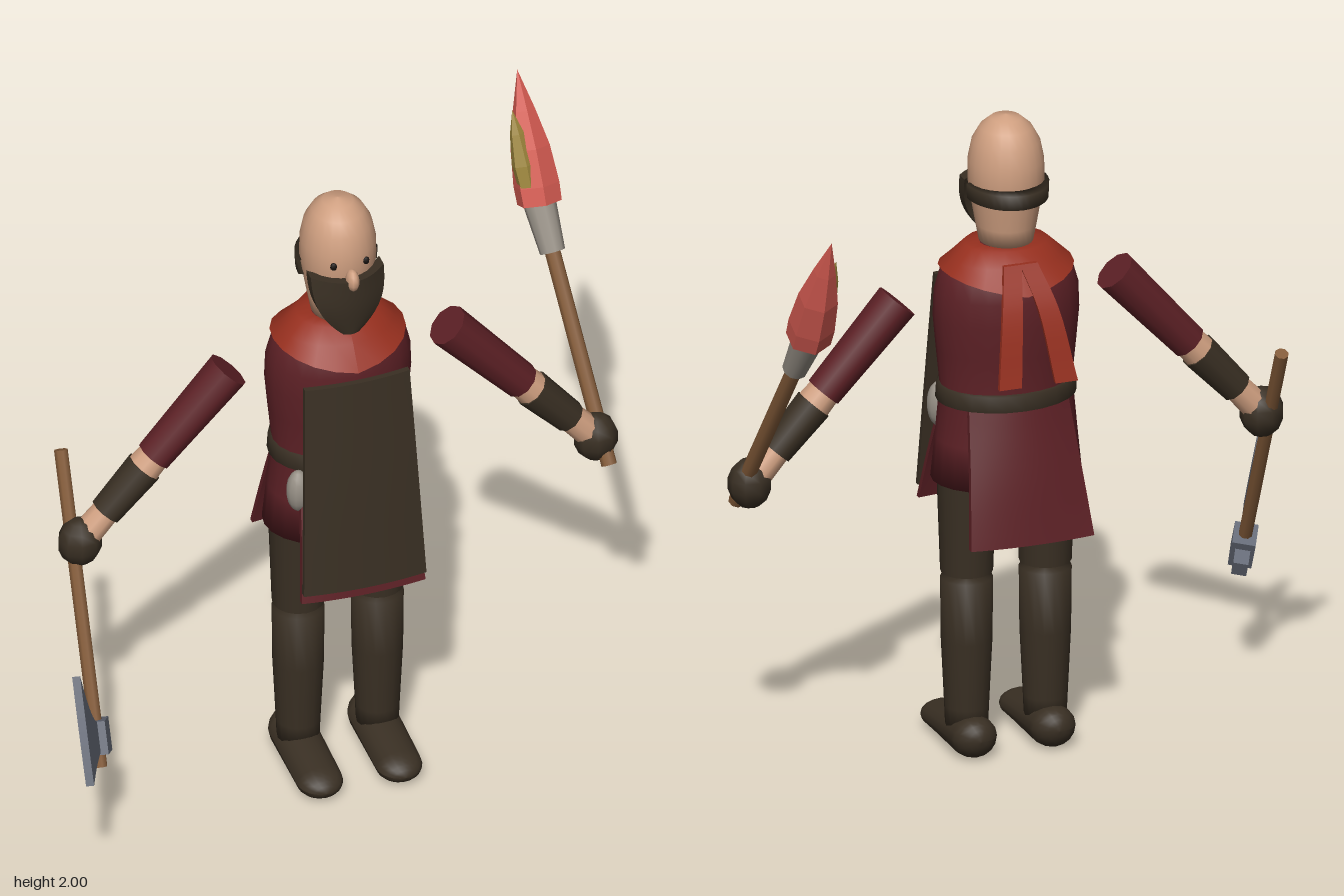
import * as THREE from 'three';

const CX = 0.04, CZ = 0.023; // centre line of the body
const V = (x, y, z) => new THREE.Vector3(x, y, z);
const lerp = THREE.MathUtils.lerp;

export function createModel() {
  const root = new THREE.Group();
  root.name = 'warrior';
  const paint = (name, color) => {
    const m = new THREE.MeshStandardMaterial({ color });
    m.name = name;
    return m;
  };
  const skin = paint('skin', 0xcf9f80), leather = paint('darkLeather', 0x392f23);
  const cloth = paint('darkRedCloth', 0x5c2025), scarf = paint('scarletCloth', 0x962f1e);
  const steel = paint('steel', 0x656a76), wood = paint('wood', 0x825a38);
  const fire = paint('redFlame', 0xd0594f), ember = paint('yellowFlame', 0x98823a);
  const grey = paint('greyWrap', 0x979086), black = paint('eyeBlack', 0x17120f);
  leather.side = scarf.side = THREE.DoubleSide;

  const add = (name, geo, mat, pos, parent = root) => {
    const m = new THREE.Mesh(geo, mat);
    m.name = name;
    if (pos) m.position.copy(pos);
    parent.add(m);
    return m;
  };
  const faceted = (geo) => {
    const g = geo.index ? geo.toNonIndexed() : geo;
    g.computeVertexNormals();
    return g;
  };
  // Tapered round bar from a to b
  const bar = (name, a, b, r0, r1, mat, seg = 12) => {
    const d = b.clone().sub(a);
    const m = add(name, new THREE.CylinderGeometry(r1, r0, d.length(), seg), mat, a.clone().add(b).multiplyScalar(0.5));
    m.quaternion.setFromUnitVectors(V(0, 1, 0), d.normalize());
    return m;
  };
  // Body of revolution, profile listed as [radius, y] from the bottom up
  const turned = (name, pts, mat, depth, seg = 24, start = 0, sweep = Math.PI * 2) => {
    const geo = new THREE.LatheGeometry(pts.map(p => new THREE.Vector2(...p)), seg, start, sweep);
    geo.scale(1, 1, depth);
    return add(name, geo, mat, V(CX, 0, CZ));
  };
  const ball = (name, r, pos, mat, seg = 14) => {
    const geo = new THREE.SphereGeometry(1, seg, Math.ceil(seg * 0.7));
    geo.scale(...r);
    return add(name, geo, mat, pos);
  };
  // Hanging panel: path of [x, y, z] from the top down, widths, sideways curl and thickness
  const panel = (name, path, w0, w1, curl0, curl1, thick, mat, power = 1) => {
    const curve = new THREE.CatmullRomCurve3(path.map(p => V(...p)));
    const geo = new THREE.BoxGeometry(1, 1, 1, 10, 10, 1);
    const p = geo.attributes.position;
    for (let i = 0; i < p.count; i++) {
      const t = 0.5 - p.getY(i), u = p.getX(i) * 2, c = curve.getPoint(t);
      const w = lerp(w0, w1, Math.pow(t, power));
      p.setXYZ(i, c.x + u * w / 2, c.y, c.z - lerp(curl0, curl1, t) * u * u + p.getZ(i) * thick);
    }
    geo.computeVertexNormals();
    return add(name, geo, mat);
  };

  // Head and face
  turned('head', [[0, 1.607], [0.08, 1.607], [0.09, 1.66], [0.102, 1.73], [0.113, 1.8], [0.112, 1.86],
    [0.1, 1.92], [0.077, 1.962], [0.045, 1.99], [0, 2]], skin, 1.07);
  ball('nose', [0.02, 0.036, 0.03], V(CX, 1.788, 0.155), skin, 10);
  for (const s of [-1, 1]) ball('eye', [0.011, 0.013, 0.009], V(CX + s * 0.05, 1.832, 0.131), black, 8);
  panel('beard', [[CX, 1.79, 0.148], [CX, 1.69, 0.145], [CX, 1.59, 0.13]], 0.226, 0.05, 0.06, 0.008, 0.042, leather, 2.6);
  turned('hairBand', [[0.1, 1.742], [0.122, 1.75], [0.124, 1.795], [0.1, 1.802], [0.1, 1.742]],
    leather, 1.22, 18, Math.PI / 2, Math.PI);

  // Tunic, belt and collar
  turned('tunic', [[0, 0.87], [0.228, 0.87], [0.215, 1.0], [0.2, 1.16], [0.212, 1.28], [0.221, 1.38],
    [0.218, 1.46], [0.198, 1.53], [0.155, 1.575], [0.12, 1.598], [0, 1.598]], cloth, 0.76);
  turned('belt', [[0.195, 1.115], [0.213, 1.12], [0.21, 1.168], [0.195, 1.172]], leather, 0.78);
  const collar = turned('collar', [[0.228, 1.49], [0.17, 1.562], [0.126, 1.603], [0.08, 1.603]], scarf, 0.82, 20);
  const cp = collar.geometry.attributes.position;
  for (let i = 0; i < cp.count; i += 4) { // lower edge rises over the shoulders
    const side = Math.abs(cp.getX(i)) / 0.228;
    cp.setXYZ(i, cp.getX(i) * (1 - 0.12 * side), 1.488 + 0.045 * side, cp.getZ(i));
  }
  collar.geometry.computeVertexNormals();

  // Scarf tails at the back
  for (const [x0, x1] of [[0.02, -0.055], [0.07, 0.12]])
    panel('scarfTail', [[x0, 1.575, -0.11], [(x0 + x1) / 2, 1.45, -0.178], [x1, 1.235, -0.228]], 0.055, 0.07, 0, 0, 0.014, scarf);

  // Skirt flaps and front apron
  panel('backSkirt', [[CX, 1.13, -0.125], [CX, 0.92, -0.175], [CX, 0.725, -0.21]], 0.31, 0.385, -0.05, -0.015, 0.018, cloth);
  panel('frontSkirt', [[CX, 1.13, 0.165], [CX, 0.92, 0.226], [CX, 0.73, 0.262]], 0.31, 0.385, 0.05, 0.015, 0.018, cloth);
  panel('apron', [[CX, 1.455, 0.205], [CX, 1.1, 0.244], [CX, 0.765, 0.276]], 0.325, 0.38, 0.015, 0.015, 0.018, leather);

  for (const s of [-1, 1]) {
    ball('beltPouch', [0.036, 0.07, 0.036], V(CX + s * 0.165, 1.06, 0.145), grey, 12);

    // Arm: points measured along a sloping line from the shoulder
    const at = d => V(CX + s * (0.34 + 0.67 * d), 1.455 - 0.742 * d, CZ);
    bar('sleeve', at(0), at(0.345), 0.066, 0.056, cloth, 10);
    bar('forearm', at(0.34), at(0.4), 0.05, 0.054, skin, 10);
    bar('bracer', at(0.39), at(0.568), 0.058, 0.05, leather, 10);
    bar('wrist', at(0.565), at(0.65), 0.043, 0.046, skin, 10);
    ball('hand', [0.068, 0.078, 0.062], at(0.688), leather, 9);

    // Leg
    const x = CX + s * 0.123;
    bar('thigh', V(x, 0.575, CZ), V(x, 0.95, CZ), 0.078, 0.091, leather, 16);
    const shin = new THREE.LatheGeometry([[0, 0.08], [0.063, 0.08], [0.066, 0.15], [0.076, 0.36], [0.078, 0.555], [0, 0.555]]
      .map(p => new THREE.Vector2(...p)), 16);
    add('shin', shin, leather, V(x, 0, CZ));
    const foot = new THREE.CapsuleGeometry(0.07, 0.245, 6, 16);
    foot.rotateX(Math.PI / 2);
    const fp = foot.attributes.position;
    for (let i = 0; i < fp.count; i++) { // flatten towards the toe
      const t = (fp.getZ(i) + 0.19) / 0.38;
      fp.setY(i, 0.005 + (fp.getY(i) + 0.07) * lerp(0.98, 0.56, t));
    }
    foot.computeVertexNormals();
    add('foot', foot, leather, V(x, 0, 0.09));
  }

  // Axe
  bar('axeHandle', V(-0.8, 0.34, 0.32), V(-0.77, 1.18, -0.12), 0.021, 0.021, wood, 8);
  const axe = new THREE.Group();
  axe.name = 'axeHead';
  const up = V(0.032, 0.885, -0.464).normalize(), out = V(-0.41, 0.437, 0.8);
  out.addScaledVector(up, -out.dot(up)).normalize();
  axe.matrixAutoUpdate = true;
  axe.quaternion.setFromRotationMatrix(new THREE.Matrix4().makeBasis(out, up, out.clone().cross(up)));
  axe.position.set(-0.797, 0.42, 0.278);
  root.add(axe);
  const blade = new THREE.Shape();
  blade.moveTo(0.02, -0.04);
  blade.quadraticCurveTo(0.13, -0.05, 0.259, -0.104);
  blade.quadraticCurveTo(0.272, 0.06, 0.266, 0.225);
  blade.quadraticCurveTo(0.14, 0.06, 0.02, 0.045);
  const bladeGeo = new THREE.ExtrudeGeometry(blade, { depth: 0.024, bevelEnabled: false, curveSegments: 8 });
  bladeGeo.translate(0, 0, -0.012);
  add('axeBlade', bladeGeo, steel, null, axe);
  add('axeSocket', new THREE.BoxGeometry(0.085, 0.1, 0.07), steel, null, axe);
  add('axePoll', new THREE.BoxGeometry(0.06, 0.05, 0.045), steel, V(-0.068, 0, 0), axe);

  // Torch
  const base = V(0.865, 0.87, 0.075), axis = V(-0.082, 0.837, -0.541).normalize();
  const on = d => base.clone().addScaledVector(axis, d);
  bar('torchHandle', base, on(0.68), 0.024, 0.024, wood, 8);
  bar('torchWrap', on(0.65), on(0.81), 0.038, 0.05, grey, 10);
  const flame = (name, pts, mat, a, b) => { // pointed tongue from a to b, pts as [radius, fraction]
    const d = b.clone().sub(a), len = d.length();
    const geo = new THREE.LatheGeometry(pts.map(([r, t]) => new THREE.Vector2(r, t * len)), 6);
    const m = add(name, faceted(geo), mat, a);
    m.quaternion.setFromUnitVectors(V(0, 1, 0), d.normalize());
  };
  flame('torchFlame', [[0, 0], [0.068, 0], [0.07, 0.14], [0.06, 0.42], [0.034, 0.7], [0, 1]],
    fire, on(0.8), V(0.79, 1.905, -0.53));
  flame('sideFlame', [[0, 0], [0.03, 0.04], [0.036, 0.35], [0.022, 0.72], [0, 1]],
    ember, V(0.768, 1.58, -0.355), V(0.75, 1.815, -0.46));
  return root;
}
